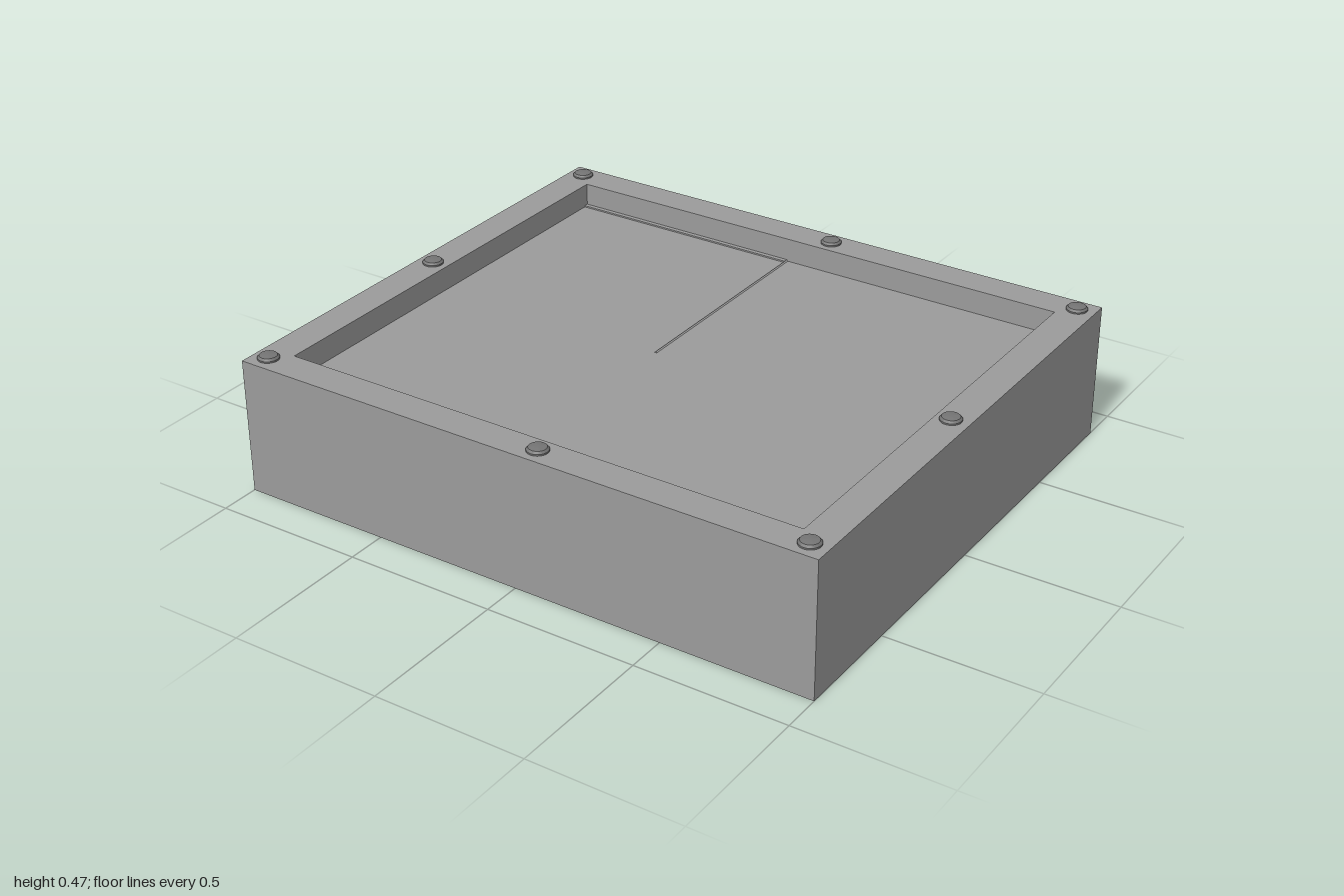
import * as THREE from 'three';
import { toCreasedNormals } from 'three/addons/utils/BufferGeometryUtils.js';

const W = 2, D = 1.74, TOP = 0.45, FLOOR = 0.37;
const bodyMaterial = new THREE.MeshStandardMaterial({ color: 0x9c9c9c });
const screwMaterial = new THREE.MeshStandardMaterial({ color: 0x757575 });

function addMesh(parent, name, geometry, material, x = 0, y = 0, z = 0) {
  const mesh = new THREE.Mesh(geometry, material);
  mesh.name = name;
  mesh.position.set(x, y, z);
  parent.add(mesh);
}

const points = (list) => list.map(([x, y]) => new THREE.Vector2(x, y));

// Rectangle outline centred on the origin
const rectangle = (w, d) =>
  points([[-w / 2, -d / 2], [w / 2, -d / 2], [w / 2, d / 2], [-w / 2, d / 2]]);

export function createModel() {
  const model = new THREE.Group();
  model.name = 'box';

  // Tray body: outer walls, rim, recess walls and floor
  const outline = new THREE.Shape(rectangle(W, D));
  outline.holes.push(new THREE.Path(rectangle(1.78, 1.52)));
  const walls = new THREE.ExtrudeGeometry(outline, { depth: TOP, bevelEnabled: false });
  walls.rotateX(-Math.PI / 2);
  addMesh(model, 'walls', walls, bodyMaterial);
  addMesh(model, 'base', new THREE.BoxGeometry(1.78, FLOOR, 1.52), bodyMaterial, 0, FLOOR / 2, 0);

  // Fine ridge running from the back wall to the middle of the floor
  const section = new THREE.Shape(points([[-0.004, 0], [0.004, 0], [0, 0.004]]));
  const ridge = new THREE.ExtrudeGeometry(section, { depth: 0.78, bevelEnabled: false });
  addMesh(model, 'floorRidge', ridge, bodyMaterial, -0.08, FLOOR, -0.76);

  // Slim ledge along the back wall, ending at the ridge
  addMesh(model, 'backLedge', new THREE.BoxGeometry(0.81, 0.006, 0.015), bodyMaterial,
    -0.485, FLOOR + 0.002, -0.7525);

  // Low screw heads around the rim: bevelled edge, slightly domed top
  const profile = points([[0.034, 0], [0.034, 0.005], [0.028, 0.012], [0.015, 0.0145], [0, 0.015]]);
  const screw = toCreasedNormals(new THREE.LatheGeometry(profile, 32), Math.PI / 7);
  const screws = new THREE.Group();
  screws.name = 'screws';
  model.add(screws);
  [-0.945, 0.055, 0.94].forEach((x, i) => {
    [-0.815, 0.023, 0.813].forEach((z, j) => {
      if (i !== 1 || j !== 1) addMesh(screws, 'screw', screw, screwMaterial, x, TOP, z);
    });
  });

  return model;
}
